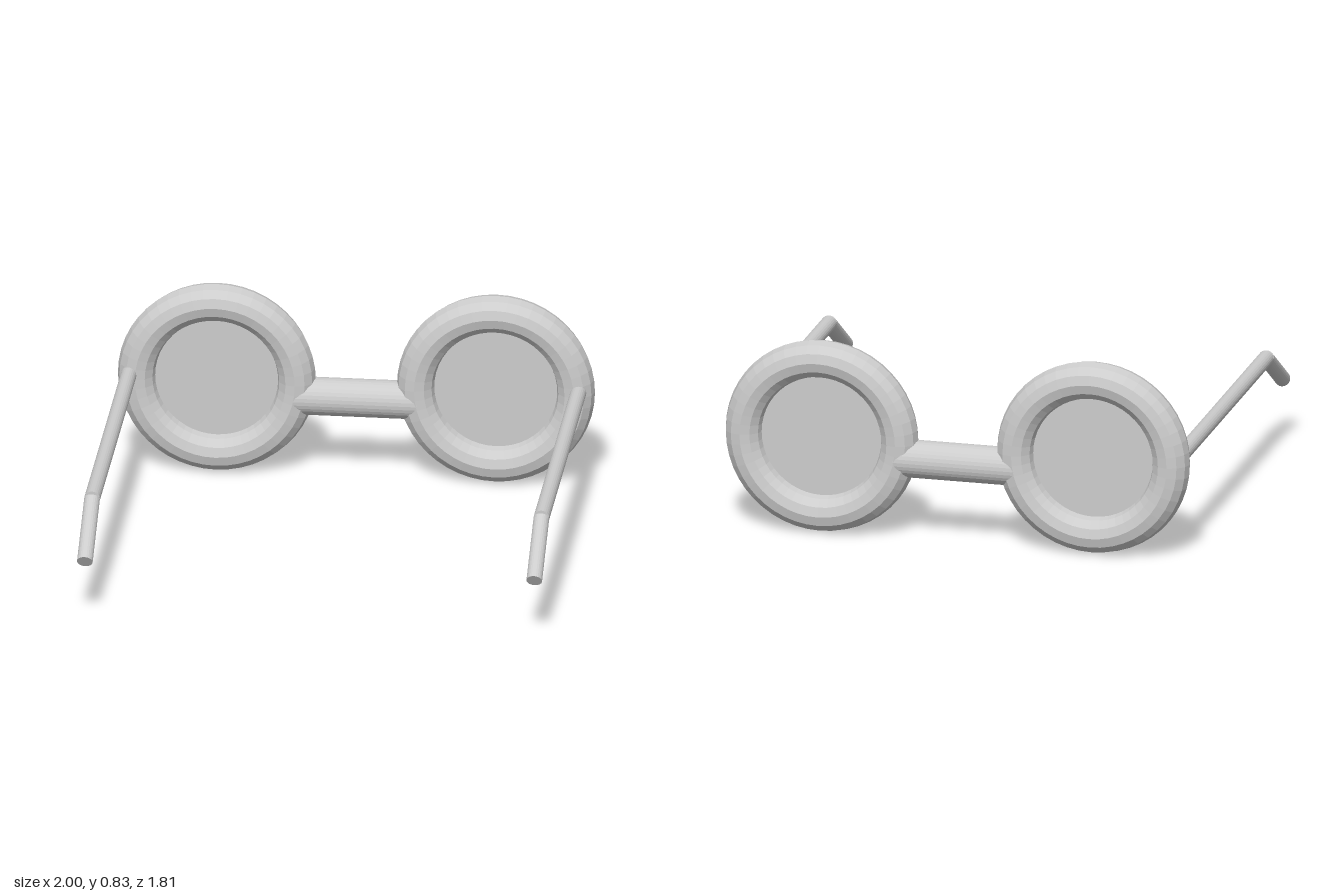
import * as THREE from 'three';

const RING_X = 0.585, RING_Y = 0.418, RING_Z = -0.825;

// Capped rod between two points
function rod(name, from, to, radius, sides, material) {
  const dir = to.clone().sub(from);
  const mesh = new THREE.Mesh(new THREE.CylinderGeometry(radius, radius, dir.length(), sides), material);
  mesh.position.copy(from).add(to).multiplyScalar(0.5);
  mesh.quaternion.setFromUnitVectors(new THREE.Vector3(0, 1, 0), dir.normalize());
  mesh.name = name;
  return mesh;
}

export function createModel() {
  const group = new THREE.Group();
  group.name = 'roundGlasses';
  const grey = new THREE.MeshStandardMaterial({ color: 0xcccccc, flatShading: true });
  grey.name = 'light grey';

  for (const [side, s] of [['left', 1], ['right', -1]]) {
    // Rim
    const rim = new THREE.Mesh(new THREE.TorusGeometry(0.335, 0.08, 12, 48), grey);
    rim.name = side + 'Rim';
    rim.position.set(s * RING_X, RING_Y, RING_Z);
    group.add(rim);

    // Lens
    const lens = new THREE.Mesh(new THREE.CylinderGeometry(0.27, 0.27, 0.02, 48), grey);
    lens.name = side + 'Lens';
    lens.rotation.x = Math.PI / 2;
    lens.position.copy(rim.position);
    group.add(lens);

    // Temple arm with a bent ear tip
    const x = s > 0 ? 0.937 : -0.947;
    const hinge = new THREE.Vector3(x, 0.437, -0.8);
    const bend = new THREE.Vector3(x, 0.437, 0.62);
    const end = new THREE.Vector3(x, 0.264, 0.889);
    group.add(rod(side + 'Temple', hinge, bend, 0.033, 24, grey));
    group.add(rod(side + 'EarTip', bend, end, 0.033, 24, grey));
  }

  // Bridge
  group.add(rod('bridge',
    new THREE.Vector3(-0.26, 0.348, RING_Z), new THREE.Vector3(0.26, 0.348, RING_Z), 0.08, 32, grey));
  return group;
}
